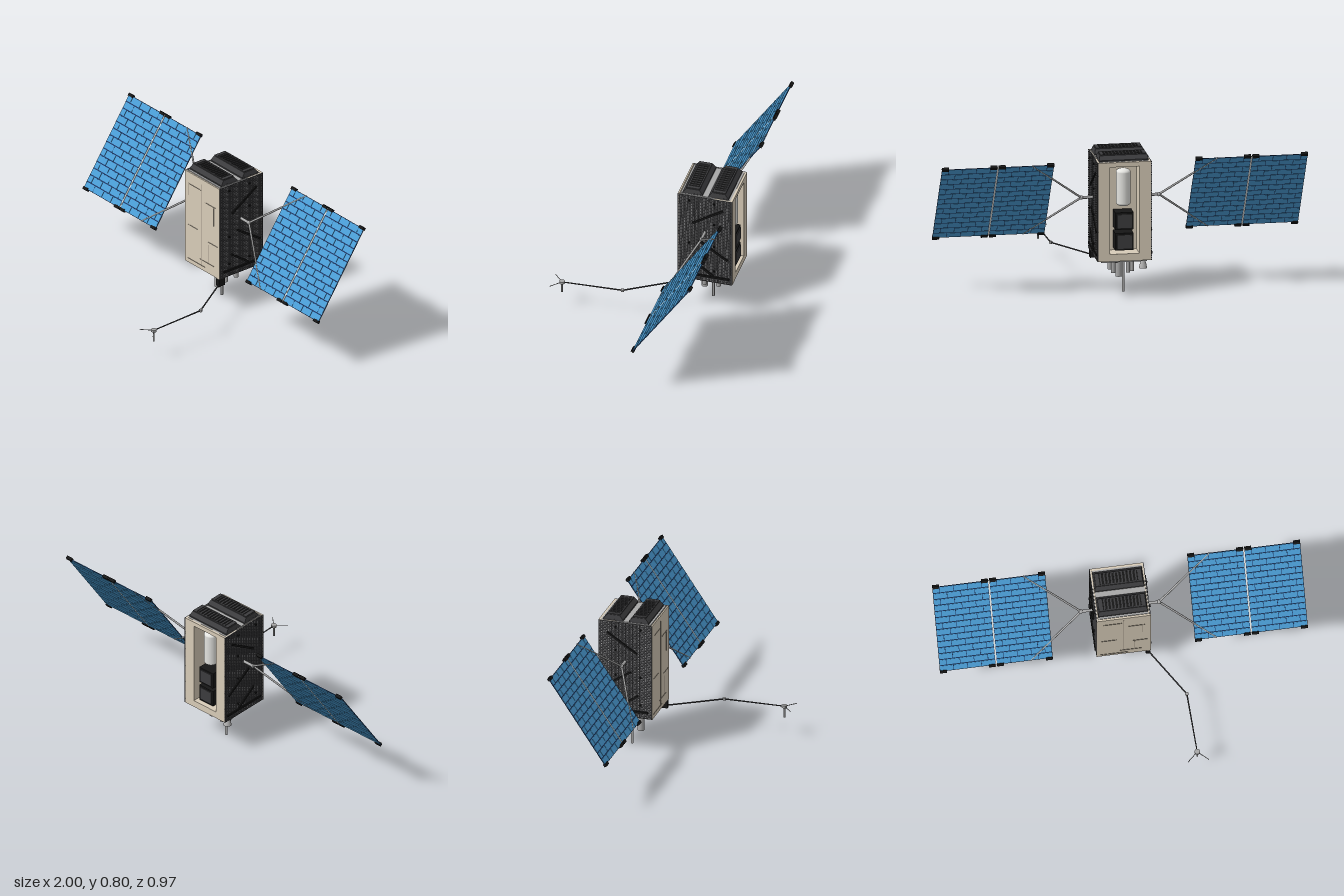
import * as THREE from 'three';
import { mergeGeometries } from 'three/addons/utils/BufferGeometryUtils.js';

const mat = (color) => new THREE.MeshStandardMaterial({ color });
const M = {
  beige: mat(0xd8ccb8), seam: mat(0x9c9284), dark: mat(0x3c3c3e), black: mat(0x161616), cell: mat(0x4a9cd4),
  navy: mat(0x1c3460), metal: mat(0xa8a8a8), white: mat(0xe4e4e0), mesh: mat(0xb4b4b4),
};
const ZC = -0.3175; // depth of the bus centre

function add(parent, name, geo, m, x = 0, y = 0, z = 0) {
  const o = new THREE.Mesh(geo, m);
  o.name = name;
  o.position.set(x, y, z);
  parent.add(o);
  return o;
}
const box = (w, h, d, x = 0, y = 0, z = 0) => new THREE.BoxGeometry(w, h, d).translate(x, y, z);
const cyl = (r, h, r2 = r) => new THREE.CylinderGeometry(r, r2, h, 20);

// Round rod between two points
function rod(parent, name, a, b, r, m, r2 = r) {
  const p = new THREE.Vector3(...a), q = new THREE.Vector3(...b);
  const o = add(parent, name, new THREE.CylinderGeometry(r2, r, p.distanceTo(q), 10), m);
  o.position.copy(p).lerp(q, 0.5);
  o.quaternion.setFromUnitVectors(new THREE.Vector3(0, 1, 0), q.sub(p).normalize());
}

// Box whose top is narrowed by sx, sz
function frustum(w, h, d, sx, sz) {
  const g = new THREE.BoxGeometry(w, h, d).toNonIndexed(), p = g.attributes.position;
  for (let i = 0; i < p.count; i++) if (p.getY(i) > 0) p.setXYZ(i, p.getX(i) * sx, p.getY(i), p.getZ(i) * sz);
  g.computeVertexNormals();
  return g;
}

function bus() {
  const g = new THREE.Group();
  g.name = 'bus';
  add(g, 'hull', box(0.28, 0.545, 0.205), M.beige, 0, 0.4825, -0.2725);
  add(g, 'frontPlate', box(0.294, 0.55, 0.008), M.beige, 0, 0.485, -0.169);
  add(g, 'topPlate', box(0.27, 0.006, 0.28), M.metal, 0, 0.758, ZC);
  add(g, 'bottomPlate', box(0.25, 0.012, 0.27), M.metal, 0, 0.206, ZC);

  // Rear frame around the open equipment bay
  const frame = new THREE.Shape([[-0.143, 0.21], [0.143, 0.21], [0.143, 0.76], [-0.143, 0.76]].map((p) => new THREE.Vector2(...p)));
  frame.holes.push(new THREE.Path([[-0.08, 0.25], [-0.08, 0.735], [0.08, 0.735], [0.08, 0.25]].map((p) => new THREE.Vector2(...p))));
  add(g, 'rearFrame', new THREE.ExtrudeGeometry(frame, { depth: 0.1, bevelEnabled: false }), M.beige, 0, 0, -0.47);
  add(g, 'tank', cyl(0.04, 0.17), M.white, 0, 0.61, -0.42);
  for (const y of [0.525, 0.695]) {
    const cap = add(g, 'tankCap', new THREE.SphereGeometry(0.04, 20, 12), M.white, 0, y, -0.42);
    cap.scale.y = 0.5;
  }
  for (const y of [0.43, 0.315]) {
    add(g, 'equipmentBox', box(0.1, 0.095, 0.08), M.black, 0, y, -0.42);
    add(g, 'equipmentLid', box(0.08, 0.075, 0.006), M.dark, 0, y, -0.462);
  }

  // Seams and small blankets on the front
  const seams = [[-0.06, 0.69, 0.1], [0.07, 0.63, 0.09], [-0.08, 0.44, 0.08], [0.09, 0.4, 0.08], [0.04, 0.27, 0.12], [-0.05, 0.235, 0.15]];
  for (const [x, y, w] of seams) add(g, 'frontSeam', box(w, 0.003, 0.003), M.seam, x, y, -0.1645);
  for (const [x, y, h] of [[0, 0.48, 0.5], [-0.11, 0.66, 0.08], [0.1, 0.57, 0.11], [0.06, 0.33, 0.11]])
    add(g, 'frontSeam', box(0.002, h, 0.003), M.seam, x, y, -0.1645);
  for (const s of [-1, 1]) sidePanel(g, s);
  return g;
}

// Side wall covered with a fine grid, braces and studs
function sidePanel(g, s) {
  add(g, 'sidePanel', box(0.004, 0.55, 0.302), M.mesh, s * 0.143, 0.485, ZC);
  const bars = [];
  for (let i = 0; i <= 54; i++) bars.push(box(0.004, 0.0055, 0.304, 0, 0.213 + i * 0.01007, ZC));
  for (let i = 0; i <= 30; i++) bars.push(box(0.004, 0.55, 0.0055, 0, 0.485, -0.1685 - i * 0.00993));
  add(g, 'sideGrid', mergeGeometries(bars), M.dark, s * 0.1455);
  const braces = [[-0.25, 0.585, -0.42, 0.695], [-0.285, 0.475, -0.445, 0.37], [-0.245, 0.34, -0.365, 0.255], [-0.19, 0.247, -0.455, 0.247]];
  for (const [z1, y1, z2, y2] of braces) {
    const b = add(g, 'sideBrace', box(0.01, 0.011, Math.hypot(z2 - z1, y2 - y1)), M.black, s * 0.149, (y1 + y2) / 2, (z1 + z2) / 2);
    b.rotation.x = -Math.atan2(y2 - y1, z2 - z1);
  }
  for (const [z, y] of [[-0.23, 0.73], [-0.37, 0.73], [-0.37, 0.595], [-0.23, 0.45], [-0.37, 0.45], [-0.23, 0.287], [-0.37, 0.287]])
    add(g, 'sideStud', box(0.012, 0.009, 0.009), M.black, s * 0.149, y, z);
}

// Louvred housings on the roof
function louvers() {
  const g = new THREE.Group();
  g.name = 'roofLouvers';
  for (const z of [-0.245, -0.39]) {
    add(g, 'louverBase', box(0.27, 0.008, 0.112), M.dark, 0, 0.764, z);
    add(g, 'louverHousing', frustum(0.27, 0.024, 0.112, 0.95, 0.64), M.dark, 0, 0.779, z);
    add(g, 'louverPit', box(0.21, 0.002, 0.066), M.black, 0, 0.7915, z);
    for (const s of [-1, 1]) {
      add(g, 'louverRail', box(0.25, 0.006, 0.007), M.dark, 0, 0.793, z + s * 0.033);
      add(g, 'louverEnd', box(0.02, 0.006, 0.066), M.dark, s * 0.115, 0.793, z);
    }
    for (let i = 0; i < 11; i++) add(g, 'louverFin', box(0.008, 0.006, 0.06), M.dark, -0.095 + i * 0.019, 0.794, z);
  }
  return g;
}

// Tilted two-leaf solar wing with its yoke
function solarWing(s) {
  const g = new THREE.Group();
  g.name = s > 0 ? 'leftSolarWing' : 'rightSolarWing';
  g.position.set(0, 0.533, ZC);
  g.rotation.x = -0.6;
  rod(g, 'mast', [s * 0.14, 0, 0], [s * 0.215, 0, 0], 0.008, M.metal);
  add(g, 'mastJoint', new THREE.SphereGeometry(0.012, 14, 10), M.metal, s * 0.212, 0, 0);
  for (const t of [-1, 1]) rod(g, 'yokeArm', [s * 0.212, 0, 0], [s * 0.505, t * 0.28, 0], 0.006, M.metal, 0.0045);
  const h = 0.56, w = 0.302, rows = 14, cols = 4;
  for (const x0 of [0.386, 0.696]) {
    add(g, 'solarLeaf', box(w, h, 0.003), M.navy, s * (x0 + w / 2));
    // Cells in a staggered bond, showing on both faces
    const cells = [], cw = w / cols, ch = h / rows;
    for (let r = 0; r < rows; r++)
      for (let c = 0; c <= cols; c++) {
        const a = Math.max(0, (c - (r % 2) / 2) * cw), b = Math.min(w, (c + 1 - (r % 2) / 2) * cw);
        if (b - a > 0.01) cells.push(box(b - a - 0.003, ch - 0.006, 0.006, s * (x0 + (a + b) / 2), -h / 2 + (r + 0.5) * ch, 0));
      }
    add(g, 'solarCells', mergeGeometries(cells), M.cell);
    for (const x of [x0 + 0.0185, x0 + w - 0.0185])
      for (const t of [-1, 1]) add(g, 'leafClamp', box(0.037, 0.016, 0.017), M.black, s * x, t * 0.28);
  }
  add(g, 'leafHinge', box(0.008, 0.56, 0.006), M.white, s * 0.692);
  return g;
}

// Antennas, tubes and thruster below the bus
function underside() {
  const g = new THREE.Group();
  g.name = 'undersideInstruments';
  const tubes = [[0, -0.275, 0.018, 0.075], [-0.018, -0.318, 0.007, 0], [-0.06, -0.345, 0.011, 0.12], [-0.035, -0.37, 0.011, 0.12],
    [0.05, -0.288, 0.013, 0.12], [0.045, -0.365, 0.013, 0.12], [0.02, -0.325, 0.01, 0.165], [-0.05, -0.3, 0.01, 0.165]];
  for (const [x, z, r, y] of tubes) add(g, 'tube', cyl(r, 0.205 - y), M.metal, x, (0.205 + y) / 2, z);
  const bell = [[0.011, 0.205], [0.012, 0.192], [0.018, 0.172], [0.022, 0.152]].map((p) => new THREE.Vector2(...p));
  add(g, 'thruster', new THREE.LatheGeometry(bell, 24), new THREE.MeshStandardMaterial({ color: 0xb4b4b4, side: THREE.DoubleSide }), -0.11, 0, -0.41);
  return g;
}

// Jointed boom with a three-part tip
function boom() {
  const g = new THREE.Group();
  g.name = 'boom';
  add(g, 'boomMount', box(0.024, 0.045, 0.042), M.black, 0.132, 0.187, -0.186);
  rod(g, 'boomInner', [0.138, 0.176, -0.17], [0.308, 0.177, 0.097], 0.004, M.dark);
  rod(g, 'boomOuter', [0.308, 0.177, 0.097], [0.32, 0.174, 0.43], 0.004, M.dark, 0.003);
  add(g, 'boomElbow', cyl(0.009, 0.013), M.metal, 0.308, 0.177, 0.097);
  add(g, 'tipHub', cyl(0.015, 0.013), M.metal, 0.32, 0.174, 0.432);
  add(g, 'tipProbe', cyl(0.005, 0.062), M.metal, 0.32, 0.14, 0.432);
  for (const s of [-1, 1]) rod(g, 'tipWhisker', [0.32, 0.174, 0.432], [0.32 + s * 0.057, 0.174, 0.484], 0.002, M.metal);
  return g;
}

export function createModel() {
  const g = new THREE.Group();
  g.name = 'satellite';
  g.add(bus(), louvers(), solarWing(1), solarWing(-1), underside(), boom());
  return g;
}
